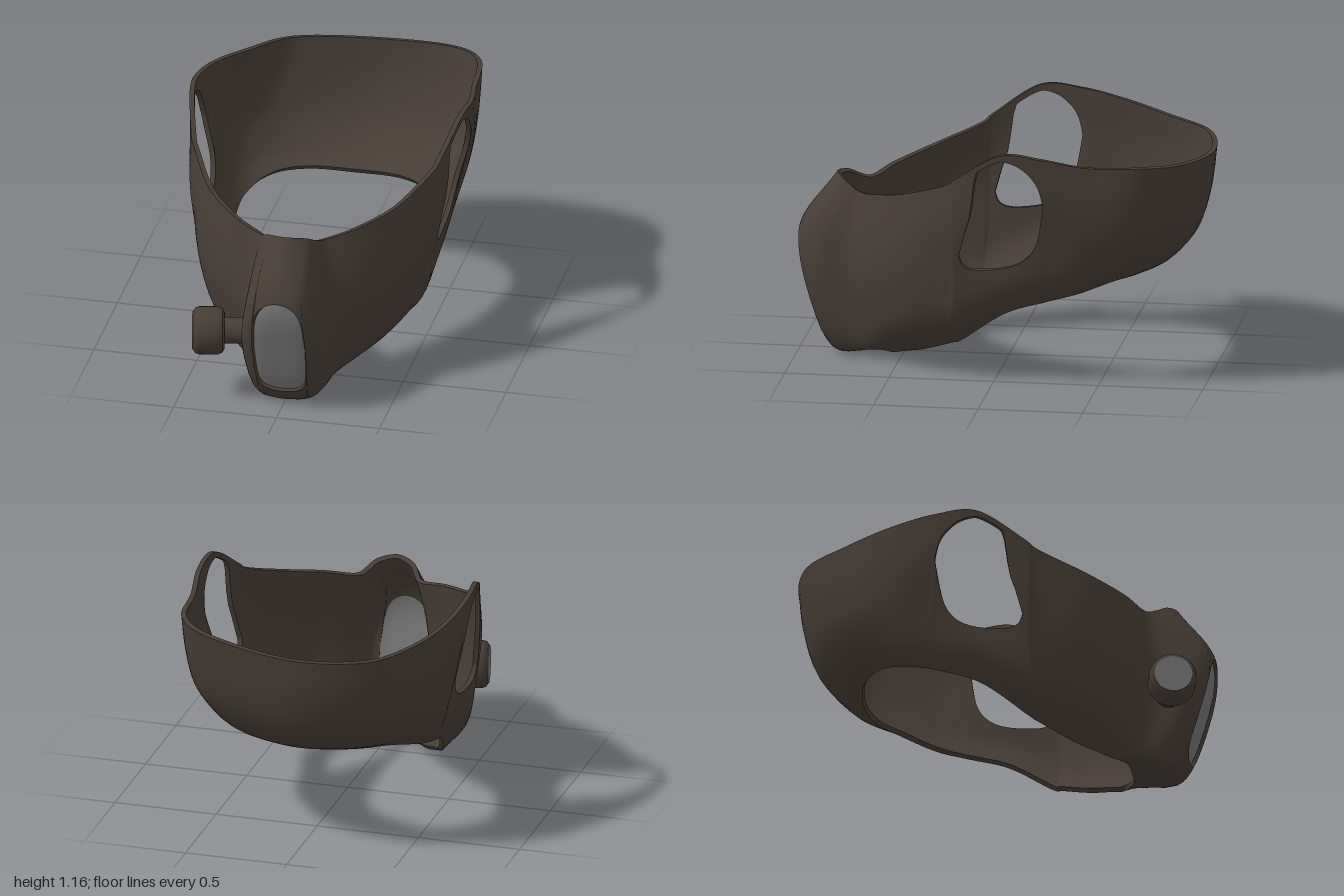
import * as THREE from 'three';
import { toCreasedNormals } from 'three/addons/utils/BufferGeometryUtils.js';

const shellMat = new THREE.MeshStandardMaterial({ color: 0x463d36 });
shellMat.name = 'dark brown rubber';
const greyMat = new THREE.MeshStandardMaterial({ color: 0x757575, side: THREE.DoubleSide });
greyMat.name = 'grey panel';

// Half cross-sections from front centre to back centre: bottom edge, middle, top edge
const SECTIONS = [
  [[0, .03, .6], [0, .33, .965], [0, .86, .82]],
  [[.1, .03, .595], [.13, .33, .955], [.09, .845, .78]],
  [[.15, .03, .57], [.195, .33, .89], [.13, .815, .73]],
  [[.19, .03, .53], [.215, .35, .72], [.17, .8, .68]],
  [[.23, .05, .46], [.37, .4, .58], [.3, .83, .6]],
  [[.29, .08, .36], [.505, .46, .4], [.455, .88, .44]],
  [[.38, .14, .22], [.57, .53, .21], [.57, .96, .23]],
  [[.42, .17, .16], [.585, .57, .155], [.605, 1.01, .16]],
  [[.48, .32, -.05], [.59, .68, -.05], [.66, 1.14, -.05]],
  [[.5, .39, -.25], [.605, .72, -.25], [.67, 1.13, -.25]],
  [[.48, .43, -.4], [.605, .7, -.45], [.635, 1.09, -.47]],
  [[.38, .47, -.55], [.53, .69, -.65], [.54, 1.05, -.69]],
  [[.22, .47, -.65], [.35, .67, -.82], [.36, 1.03, -.91]],
  [[0, .46, -.68], [0, .65, -.905], [0, 1.03, -.985]],
];
const HALF = SECTIONS.length - 1, RING = HALF * 2, THICK = 0.024;

// Adds the chin and cheek curve below the middle and the nose bulge above it
function fullSection(k) {
  const [bottom, middle, top] = SECTIONS[k].map((p) => new THREE.Vector3(...p));
  const low = bottom.clone().lerp(middle, .5), high = middle.clone().lerp(top, .5);
  const out = new THREE.Vector3(high.x, 0, high.z).normalize();
  const snout = Math.exp(-((k / 2.4) ** 4));
  low.addScaledVector(out, .04 * Math.exp(-(((k - 6) / 3) ** 4)));
  low.y -= .04 + .13 * Math.exp(-((k / 3) ** 2));
  low.z += .05 * snout;
  high.addScaledVector(out, .018);
  high.z += .09 * snout;
  return [bottom, low, middle, high, top];
}

// Five closed rails round the head; the left rear top corner is fuller
const ring = [];
for (let i = 0; i < RING; i++) {
  const k = i <= HALF ? i : RING - i;
  const section = fullSection(k);
  if (i > HALF) section.forEach((p) => { p.x *= -1; });
  else if (k === 11 || k === 12) {
    const corner = new THREE.Vector3(.055, .04, k === 11 ? -.06 : 0);
    [.3, .6, 1].forEach((share, j) => section[j + 2].addScaledVector(corner, share));
  }
  ring.push(section);
}
const rails = [0, 1, 2, 3, 4].map((row) => new THREE.CatmullRomCurve3(ring.map((s) => s[row]), true, 'catmullrom'));
const column = (u) =>
  new THREE.CatmullRomCurve3(rails.map((r) => r.getPoint(((u + RING) % RING) / RING)), false, 'catmullrom');

// Height to position along a column
function paramAt(curve, y) {
  let lo = 0.2, hi = 1;
  for (let i = 0; i < 24; i++) {
    const m = (lo + hi) / 2;
    if (curve.getPoint(m).y < y) lo = m; else hi = m;
  }
  return (lo + hi) / 2;
}

// Ear opening outline, front to back: smooth lines through [z, height]
const outline = (pts) => new THREE.SplineCurve(pts.map((p) => new THREE.Vector2(...p))).getPoints(80);
const EAR_TOP = outline([[.155, .62], [.12, .74], [.09, .84], [.078, .98], [.04, 1.09], [-.03, 1.115], [-.14, 1.09], [-.22, 1.01], [-.25, .9]]);
const EAR_LOW = outline([[.155, .62], [.13, .572], [.06, .555], [-.08, .575], [-.17, .625], [-.225, .72], [-.25, .9]]);
function lookup(line, z) {
  const i = line.findIndex((p) => z >= p.x);
  if (i === 0) return line[0].y;
  if (i < 0) return line[line.length - 1].y;
  const p = line[i - 1], q = line[i];
  return p.y + (q.y - p.y) * (z - p.x) / (q.x - p.x);
}

// One column of the shell, with the range left open by the window or an ear hole
function makeColumn(u) {
  const c = column(u), before = column(u - .02), after = column(u + .02), s = Math.abs(u);
  let a = .5, b = .5;
  if (s < .9999) {
    const k = Math.sqrt(1 - s * s);
    a = paramAt(c, .4 - .33 * k ** .2);
    b = paramAt(c, .4 + .19 * k ** .7);
  } else if (s > 6.999 && s < 9.001) {
    const z = c.getPoint(.5).z;
    a = paramAt(c, lookup(EAR_LOW, z));
    b = Math.max(a, paramAt(c, Math.min(lookup(EAR_TOP, z), c.getPoint(1).y - .03)));
  }
  const at = (t, depth) => {
    const p = c.getPoint(t);
    const du = after.getPoint(t).sub(before.getPoint(t));
    const dt = c.getPoint(Math.min(1, t + .01)).sub(c.getPoint(Math.max(0, t - .01)));
    return p.addScaledVector(du.cross(dt).normalize(), -depth);
  };
  return { u, a, b, at, closed: b - a < 1e-4 };
}

// Column positions: closer together towards the ends of each opening
function columnPositions() {
  const half = [];
  for (let i = 0; i < 10; i++) half.push(Math.sin(i / 10 * Math.PI / 2));
  for (let i = 6; i < 42; i++) half.push(i / 6);
  for (let i = 0; i < 48; i++) half.push(8 - Math.cos(i / 48 * Math.PI));
  for (let i = 54; i <= HALF * 6; i++) half.push(i / 6);
  return [...half.slice(1).reverse().map((u) => -u), ...half];
}

// Quads between successive rows of points
function loft(rows, skip = () => false) {
  const pos = [];
  for (let i = 0; i + 1 < rows.length; i++) {
    for (let j = 0; j + 1 < rows[i].length; j++) {
      if (skip(i, j)) continue;
      const p = rows[i][j], q = rows[i + 1][j], r = rows[i + 1][j + 1], s = rows[i][j + 1];
      for (const v of [p, q, r, p, r, s]) pos.push(v.x, v.y, v.z);
    }
  }
  return pos;
}
function geometryOf(pos, crease) {
  const g = new THREE.BufferGeometry();
  g.setAttribute('position', new THREE.Float32BufferAttribute(pos, 3));
  return toCreasedNormals(g, crease);
}

export function createModel() {
  const model = new THREE.Group();
  const add = (name, geo, mat, parent = model) => {
    const m = new THREE.Mesh(geo, mat);
    m.name = name;
    parent.add(m);
    return m;
  };
  const cols = columnPositions().map(makeColumn);

  // Thick shell: one band below the openings and one above
  const N = 9;
  const band = (from, to, wallIndex) => {
    const rows = cols.map((c) => {
      const row = [];
      const t = (k) => from(c) + (to(c) - from(c)) * k / N;
      for (let k = 0; k <= N; k++) row.push(c.at(t(k), 0));
      for (let k = N; k >= 0; k--) row.push(c.at(t(k), THICK));
      row.push(row[0]);
      return row;
    });
    return loft(rows, (i, j) => j === wallIndex && cols[i].closed && cols[i + 1].closed);
  };
  const lower = band(() => 0, (c) => c.a, N);
  const upper = band((c) => c.b, () => 1, 2 * N + 1);
  add('maskShell', geometryOf(lower.concat(upper), 1.1), shellMat);

  // Recessed window panel in the snout
  const panelRows = cols.filter((c) => Math.abs(c.u) <= 1).map((c) => {
    const row = [];
    for (let k = 0; k <= 12; k++) row.push(c.at(c.a + (c.b - c.a) * k / 12, .018));
    return row;
  });
  add('frontWindow', geometryOf(loft(panelRows), 1.2), greyMat);

  // Side valve: stem, rounded cap and end disc along one axis
  const valve = new THREE.Group();
  valve.name = 'sideValve';
  valve.position.set(-.365, .335, .84);
  valve.quaternion.setFromUnitVectors(new THREE.Vector3(0, 1, 0), new THREE.Vector3(-.978, 0, .208).normalize());
  model.add(valve);
  add('valveStem', new THREE.CylinderGeometry(.063, .063, .17, 32), shellMat, valve).position.y = -.115;
  const profile = [[0, -.075], [.085, -.075], [.105, -.066], [.114, -.045], [.114, .045], [.108, .064], [.093, .074], [0, .074]]
    .map(([r, y]) => new THREE.Vector2(r, y));
  add('valveCap', toCreasedNormals(new THREE.LatheGeometry(profile, 40), 0.7), shellMat, valve);
  add('valveDisc', new THREE.CylinderGeometry(.09, .09, .006, 40), greyMat, valve).position.y = .075;

  return model;
}
